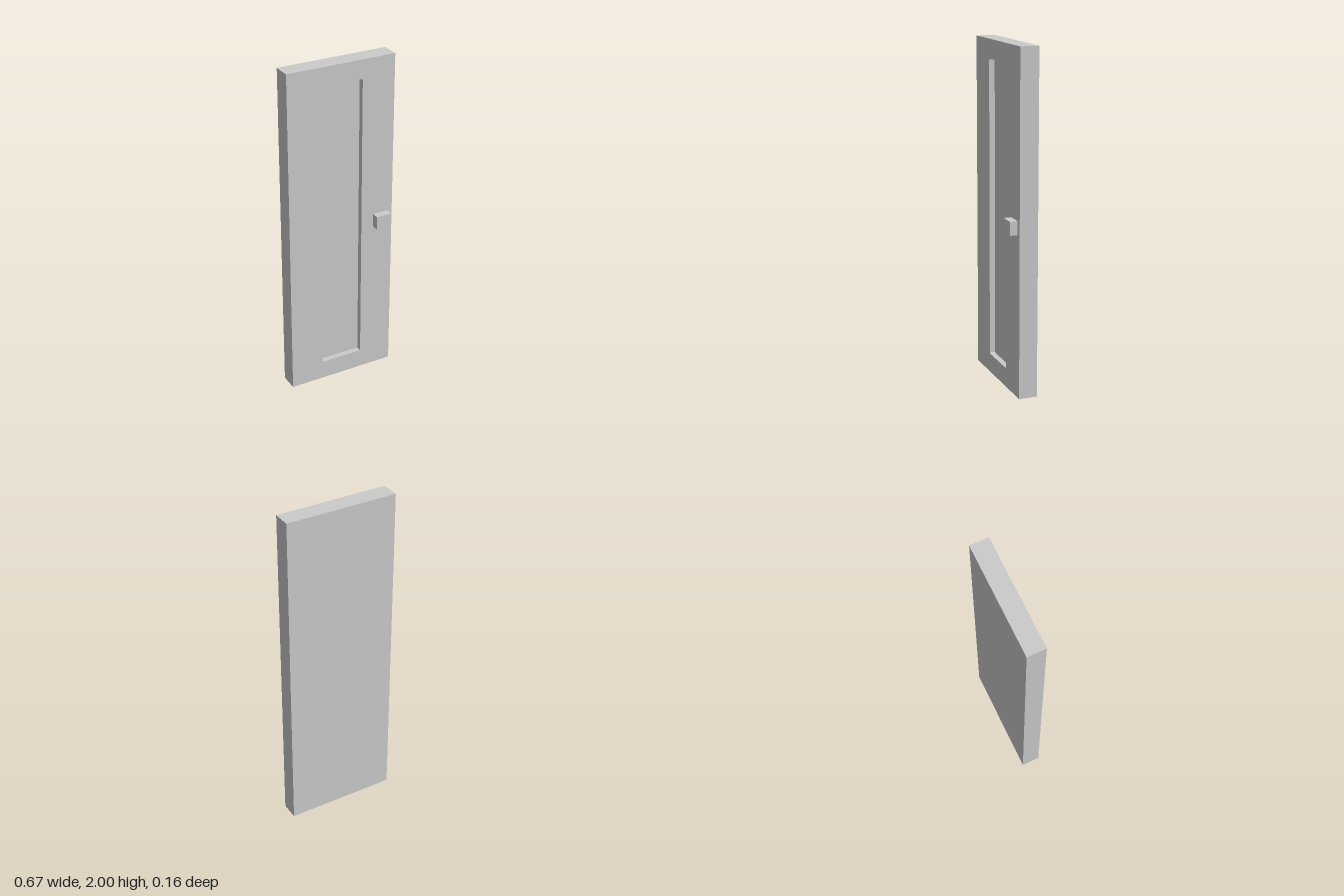
import * as THREE from 'three';

const WIDTH = 0.666, HEIGHT = 2;
const BACK = -0.079, FRONT = 0.031, RECESS = 0.034;

function roundedRect(path, x0, y0, x1, y1, r) {
  path.moveTo(x0 + r, y0);
  path.lineTo(x1 - r, y0);
  path.absarc(x1 - r, y0 + r, r, -Math.PI / 2, 0);
  path.lineTo(x1, y1 - r);
  path.absarc(x1 - r, y1 - r, r, 0, Math.PI / 2);
  path.lineTo(x0 + r, y1);
  path.absarc(x0 + r, y1 - r, r, Math.PI / 2, Math.PI);
  path.lineTo(x0, y0 + r);
  path.absarc(x0 + r, y0 + r, r, Math.PI, Math.PI * 1.5);
  path.closePath();
  return path;
}

export function createModel() {
  const group = new THREE.Group();
  group.name = 'door';
  const material = new THREE.MeshStandardMaterial({ color: 0xcccccc, flatShading: true });

  const add = (name, geometry, x, y, z) => {
    const mesh = new THREE.Mesh(geometry, material);
    mesh.name = name;
    mesh.position.set(x, y, z);
    group.add(mesh);
  };

  // Solid slab behind the recessed panel
  const slabFront = FRONT - RECESS;
  const slabDepth = slabFront - BACK;
  add('doorSlab', new THREE.BoxGeometry(WIDTH, HEIGHT, slabDepth), 0, HEIGHT / 2, BACK + slabDepth / 2);

  // Front frame around the tall recess with slightly rounded corners
  const half = WIDTH / 2;
  const outline = new THREE.Shape([
    new THREE.Vector2(-half, 0), new THREE.Vector2(half, 0),
    new THREE.Vector2(half, HEIGHT), new THREE.Vector2(-half, HEIGHT),
  ]);
  outline.holes.push(roundedRect(new THREE.Path(), -0.13, 0.115, 0.13, 1.888, 0.008));
  add('doorFrame', new THREE.ExtrudeGeometry(outline, {
    depth: RECESS, bevelEnabled: false, curveSegments: 4,
  }), 0, 0, slabFront);

  // Block handle
  add('handle', new THREE.BoxGeometry(0.097, 0.08, 0.046), 0.2555, 1, FRONT + 0.023);

  return group;
}
